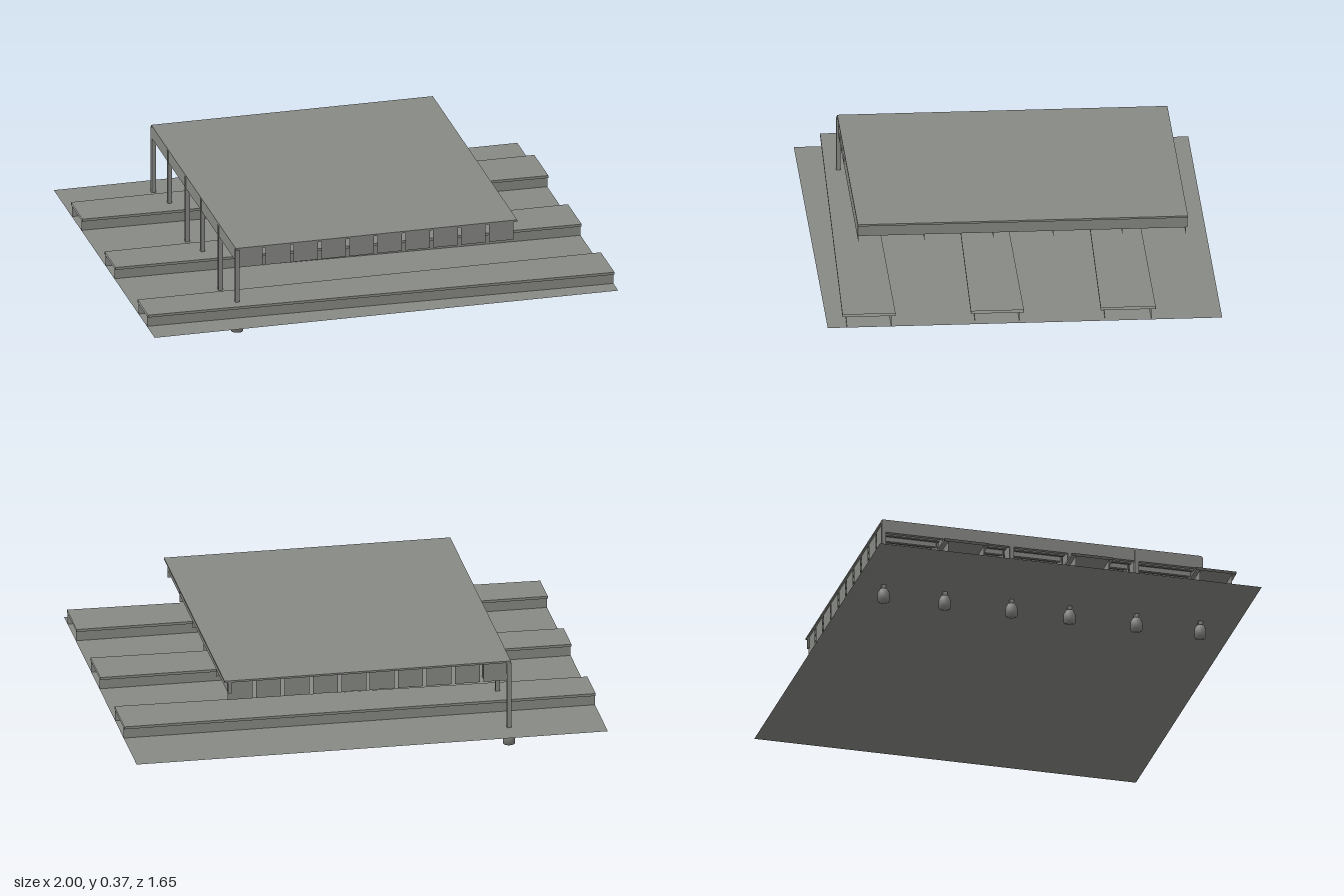
import * as THREE from 'three';

const concrete = new THREE.MeshStandardMaterial({ color: 0x888a85, side: THREE.DoubleSide });
concrete.name = 'concreteGrey';

const GROUND = 0.073;
const ROOF_TOP = 0.373;
const POST_X = -0.603;
const postZs = [0.663, 0.387, 0.098, -0.153, -0.442, -0.706];

function add(parent, name, geometry, x = 0, y = 0, z = 0) {
  const mesh = new THREE.Mesh(geometry, concrete);
  mesh.name = name;
  mesh.position.set(x, y, z);
  parent.add(mesh);
  return mesh;
}

// Box given by its minimum and maximum on each axis
function span(parent, name, x0, x1, y0, y1, z0, z1) {
  return add(parent, name, new THREE.BoxGeometry(x1 - x0, y1 - y0, z1 - z0),
    (x0 + x1) / 2, (y0 + y1) / 2, (z0 + z1) / 2);
}

// Open-ended upright wall between two plan points
function wall(parent, name, xa, za, xb, zb, y0, y1) {
  const g = new THREE.PlaneGeometry(Math.hypot(xb - xa, zb - za), y1 - y0);
  g.rotateY(-Math.atan2(zb - za, xb - xa));
  return add(parent, name, g, (xa + xb) / 2, (y0 + y1) / 2, (za + zb) / 2);
}

// Flat sheet with a straight back edge and a slanting front edge
function sheet(parent, name, back, frontA, frontB, y) {
  const s = new THREE.Shape([
    new THREE.Vector2(-1, -frontA), new THREE.Vector2(1, -frontB),
    new THREE.Vector2(1, -back), new THREE.Vector2(-1, -back),
  ]);
  const g = new THREE.ShapeGeometry(s);
  g.rotateX(-Math.PI / 2);
  return add(parent, name, g, 0, y, 0);
}

// Hollow tapering platform with an overhanging lip, open at both ends
function platform(back, frontA, frontB) {
  const p = new THREE.Group();
  p.name = 'platform';
  const inset = 0.018;
  sheet(p, 'platformTop', back, frontA, frontB, 0.131);
  sheet(p, 'platformUnderside', back, frontA, frontB, 0.12);
  wall(p, 'frontLip', -1, frontA, 1, frontB, 0.12, 0.131);
  wall(p, 'backLip', -1, back, 1, back, 0.12, 0.131);
  wall(p, 'frontWall', -1, frontA - inset, 1, frontB - inset, GROUND, 0.12);
  wall(p, 'backWall', -1, back + inset, 1, back + inset, GROUND, 0.12);
  return p;
}

export function createModel() {
  const model = new THREE.Group();
  model.name = 'station';

  // Ground sheet
  const groundGeo = new THREE.PlaneGeometry(2, 1.65);
  groundGeo.rotateX(-Math.PI / 2);
  add(model, 'ground', groundGeo, 0, GROUND, -0.004);

  // Platforms
  model.add(platform(0.537, 0.711, 0.759));
  model.add(platform(0, 0.179, 0.222));
  model.add(platform(-0.551, -0.361, -0.321));

  // Posts on buried footings with sloping shoulders
  const footProfile = [[0, 0], [0.025, 0], [0.025, 0.036], [0.017, 0.053], [0, 0.053]]
    .map(([r, y]) => new THREE.Vector2(r, y));
  for (const z of postZs) {
    const post = new THREE.Group();
    post.name = 'post';
    add(post, 'footing', new THREE.LatheGeometry(footProfile, 16), POST_X, 0, z);
    span(post, 'postShaft', POST_X - 0.009, POST_X + 0.009, 0.05, 0.365, z - 0.009, z + 0.009);
    model.add(post);
  }

  // Roof slab and the beams along both sides
  const roof = new THREE.Group();
  roof.name = 'roof';
  span(roof, 'roofSlab', -0.61, 0.605, 0.365, ROOF_TOP, -0.714, 0.667);
  span(roof, 'postBeam', -0.61, -0.593, 0.316, 0.366, -0.713, 0.666);
  span(roof, 'outerBeam', 0.574, 0.59, 0.316, 0.366, -0.713, 0.666);

  // Rows of hanging panels over each post line, with ribs under the slab
  for (let i = 0; i < 10; i++) {
    const x = -0.547 + i * 0.1205;
    for (const z of postZs) {
      wall(roof, 'hangingPanel', x - 0.053, z, x + 0.053, z, 0.284, 0.366);
    }
    for (const side of [-1, 1]) {
      const rx = x + side * 0.03;
      span(roof, 'rib', rx - 0.007, rx + 0.007, 0.345, 0.366, -0.705, 0.66);
    }
  }
  model.add(roof);
  return model;
}
